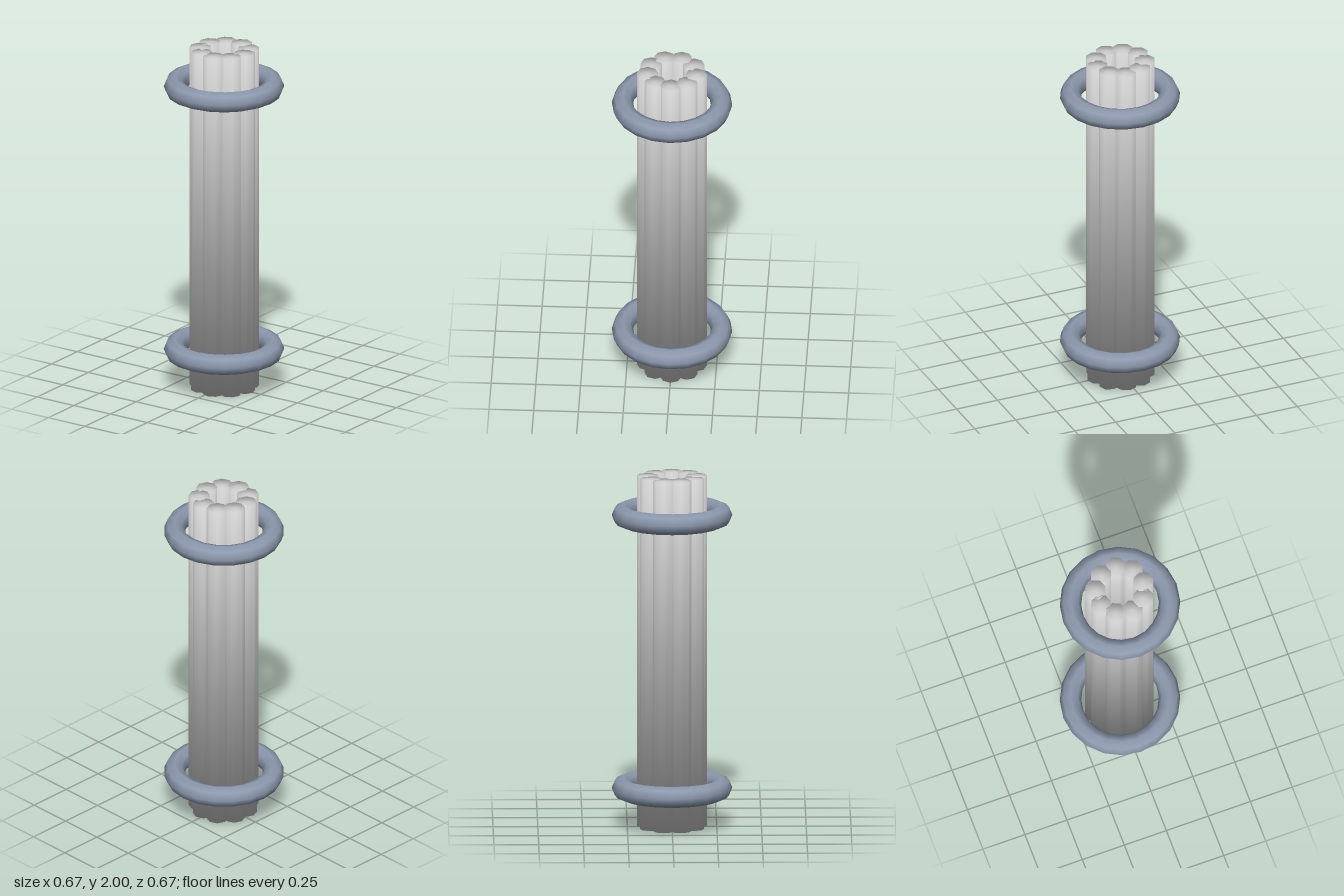
import * as THREE from 'three';

const ROD_COUNT = 9, ROD_RADIUS = 0.06, ROD_CIRCLE = 0.138, HEIGHT = 2;
const RING_RADIUS = 0.277, RING_TUBE = 0.06;

// Octagonal rod whose shading flows smoothly from the sides over the ends
function rodGeometry() {
  const geo = new THREE.CylinderGeometry(ROD_RADIUS, ROD_RADIUS, HEIGHT, 8, 1);
  const pos = geo.attributes.position;
  const n = new THREE.Vector3();
  for (let i = 0; i < pos.count; i++) {
    n.set(pos.getX(i) / ROD_RADIUS, Math.sign(pos.getY(i)), pos.getZ(i) / ROD_RADIUS).normalize();
    geo.attributes.normal.setXYZ(i, n.x, n.y, n.z);
  }
  return geo;
}

export function createModel() {
  const model = new THREE.Group();
  model.name = 'rodBundle';

  const rodGrey = new THREE.MeshStandardMaterial({ color: 0xcccccc });
  rodGrey.name = 'rodGrey';
  const ringBlue = new THREE.MeshStandardMaterial({ color: 0x8c98ad });
  ringBlue.name = 'ringBlueGrey';

  // Circle of upright rods, all facing the same way
  const rods = new THREE.Group();
  rods.name = 'rods';
  const rodGeo = rodGeometry();
  for (let i = 0; i < ROD_COUNT; i++) {
    const a = (i / ROD_COUNT) * Math.PI * 2;
    const rod = new THREE.Mesh(rodGeo, rodGrey);
    rod.name = `rod${i + 1}`;
    rod.position.set(Math.cos(a) * ROD_CIRCLE, HEIGHT / 2, Math.sin(a) * ROD_CIRCLE);
    rods.add(rod);
  }
  model.add(rods);

  // Loose rings near both ends
  const ringGeo = new THREE.TorusGeometry(RING_RADIUS, RING_TUBE, 8, 20).rotateX(Math.PI / 2);
  for (const [name, y] of [['lowerRing', 0.222], ['upperRing', 1.778]]) {
    const ring = new THREE.Mesh(ringGeo, ringBlue);
    ring.name = name;
    ring.position.y = y;
    model.add(ring);
  }
  return model;
}
